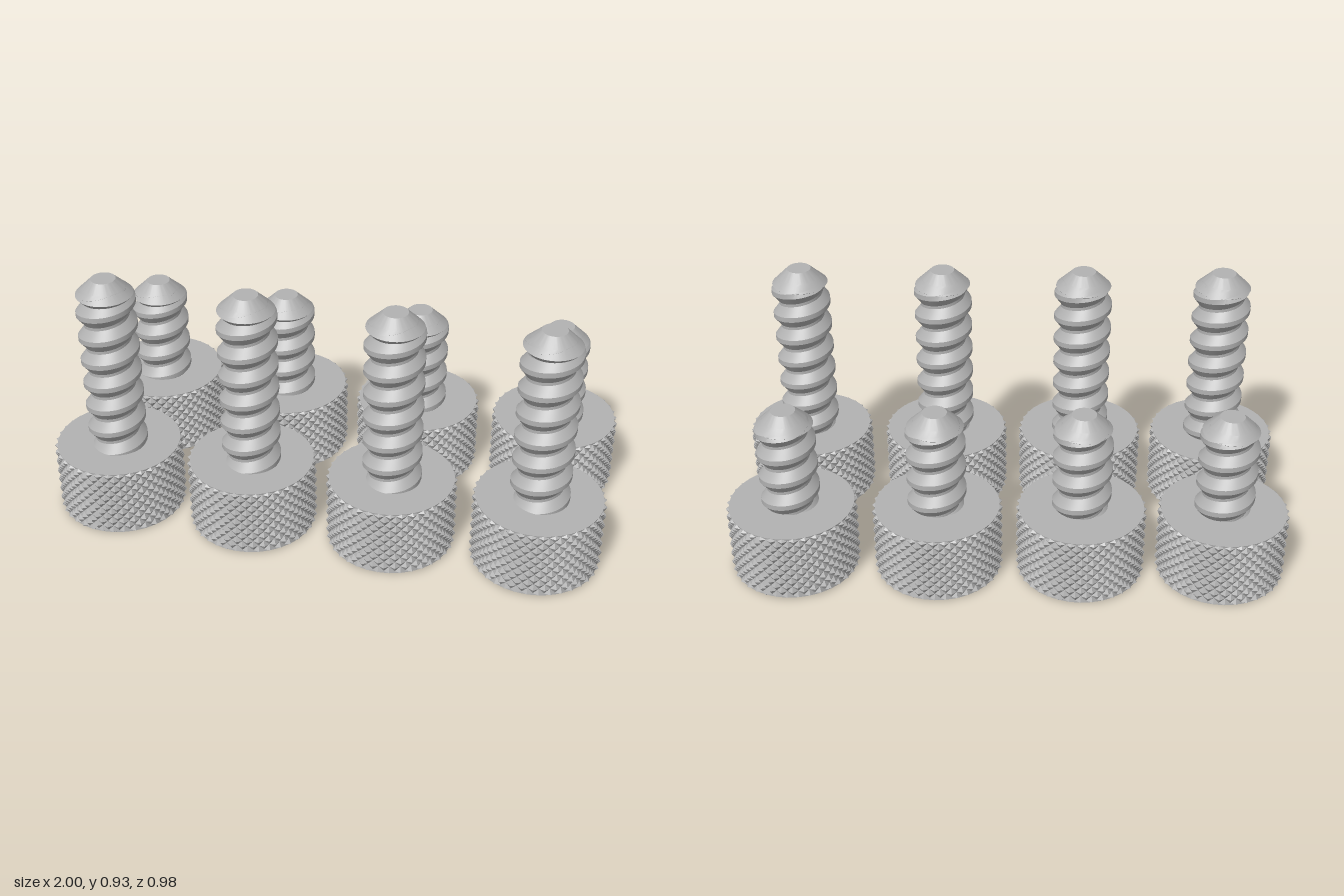
import * as THREE from 'three';
import { toCreasedNormals } from 'three/addons/utils/BufferGeometryUtils.js';

const HEAD_R = 0.233, HEAD_H = 0.257, TEETH = 36;
const PITCH = 0.0945, CREST_R = 0.105, ROOT_R = 0.081;
const TIP_R = 0.043, TIP_H = 0.056;

// Surface from a grid of [radius, angle, y]; flip(i, j) picks the quad diagonal
function polarGrid(cols, rows, point, flip = () => false) {
  const pos = [], index = [];
  for (let j = 0; j <= rows; j++) {
    for (let i = 0; i <= cols; i++) {
      const [r, a, y] = point(i, j);
      pos.push(r * Math.sin(a), y, r * Math.cos(a));
    }
  }
  for (let j = 0; j < rows; j++) {
    for (let i = 0; i < cols; i++) {
      const a = j * (cols + 1) + i, b = a + 1, d = a + cols + 1, c = d + 1;
      if (flip(i, j)) index.push(a, b, d, b, c, d);
      else index.push(a, b, c, a, c, d);
    }
  }
  const geo = new THREE.BufferGeometry();
  geo.setAttribute('position', new THREE.Float32BufferAttribute(pos, 3));
  geo.setIndex(index);
  return geo;
}

// Knurled side: pyramids on a diamond lattice, closed by chamfers and flat caps
function headGeometry() {
  const bands = 12, cols = TEETH * 2, rim = 0.008, capR = HEAD_R - 0.011;
  const rows = bands + 4;
  const point = (i, j) => {
    const a = (i / cols) * Math.PI * 2;
    if (j === 0) return [0, a, 0];
    if (j === 1) return [capR, a, 0];
    if (j === rows - 1) return [capR, a, HEAD_H];
    if (j === rows) return [0, a, HEAD_H];
    const y = rim + ((j - 2) / bands) * (HEAD_H - 2 * rim);
    return [(i + j) % 2 ? HEAD_R - 0.012 : HEAD_R, a, y];
  };
  // Diagonals follow the grooves
  const geo = polarGrid(cols, rows, point, (i, j) => (i + j) % 2 === 0);
  return toCreasedNormals(geo, 0.05);
}

// Distance along the axis from the crest -> thread radius
function threadRadius(d) {
  const t = Math.abs(d / PITCH - Math.round(d / PITCH));
  const k = THREE.MathUtils.clamp((t - 0.1) / 0.34, 0, 1);
  return THREE.MathUtils.lerp(CREST_R, ROOT_R, k);
}

// Right-handed helical thread, cut off by the conical tip
function threadGeometry(top, crestY) {
  const base = HEAD_H - 0.005, end = top - 0.03, cols = 48;
  const heights = [];
  const first = Math.floor((base - PITCH - crestY) / PITCH) - 1;
  const last = Math.ceil((end - crestY) / PITCH);
  for (let k = first; k <= last; k++) {
    for (const f of [-0.1, 0.1, 0.27, 0.44, 0.56, 0.73]) heights.push(crestY + (k + f) * PITCH);
  }
  const geo = polarGrid(cols, heights.length - 1, (i, j) => {
    const lead = (i / cols) * PITCH;
    const y = THREE.MathUtils.clamp(heights[j] + lead, base, end);
    const r = Math.min(threadRadius(y - lead - crestY), TIP_R + (top - y) * 1.03);
    return [r, (i / cols) * Math.PI * 2, y];
  });
  return toCreasedNormals(geo, 0.45);
}

// Conical tip with a flat end and a tapered underside
function tipGeometry(top) {
  const profile = [
    [ROOT_R - 0.004, top - TIP_H - 0.026],
    [0.1, top - TIP_H],
    [TIP_R, top],
    [0, top],
  ].map(([r, y]) => new THREE.Vector2(r, y));
  return toCreasedNormals(new THREE.LatheGeometry(profile, 48), 0.45);
}

export function createModel() {
  const model = new THREE.Group();
  model.name = 'thumbScrewSet';
  const steel = new THREE.MeshStandardMaterial({ color: 0xb2b2b2 });
  steel.name = 'steel grey';

  const head = headGeometry();
  const rows = [
    { name: 'longScrew', z: 0.258, top: 0.925, crest: 0.815 },
    { name: 'shortScrew', z: -0.258, top: 0.643, crest: 0.54 },
  ];
  for (const { name, z, top, crest } of rows) {
    const parts = {
      knurledHead: head,
      threadedShank: threadGeometry(top, crest),
      conicalTip: tipGeometry(top),
    };
    for (const x of [-0.768, -0.264, 0.248, 0.768]) {
      const screw = new THREE.Group();
      screw.name = name;
      for (const [part, geometry] of Object.entries(parts)) {
        const mesh = new THREE.Mesh(geometry, steel);
        mesh.name = part;
        screw.add(mesh);
      }
      screw.position.set(x, 0, z);
      model.add(screw);
    }
  }
  return model;
}
